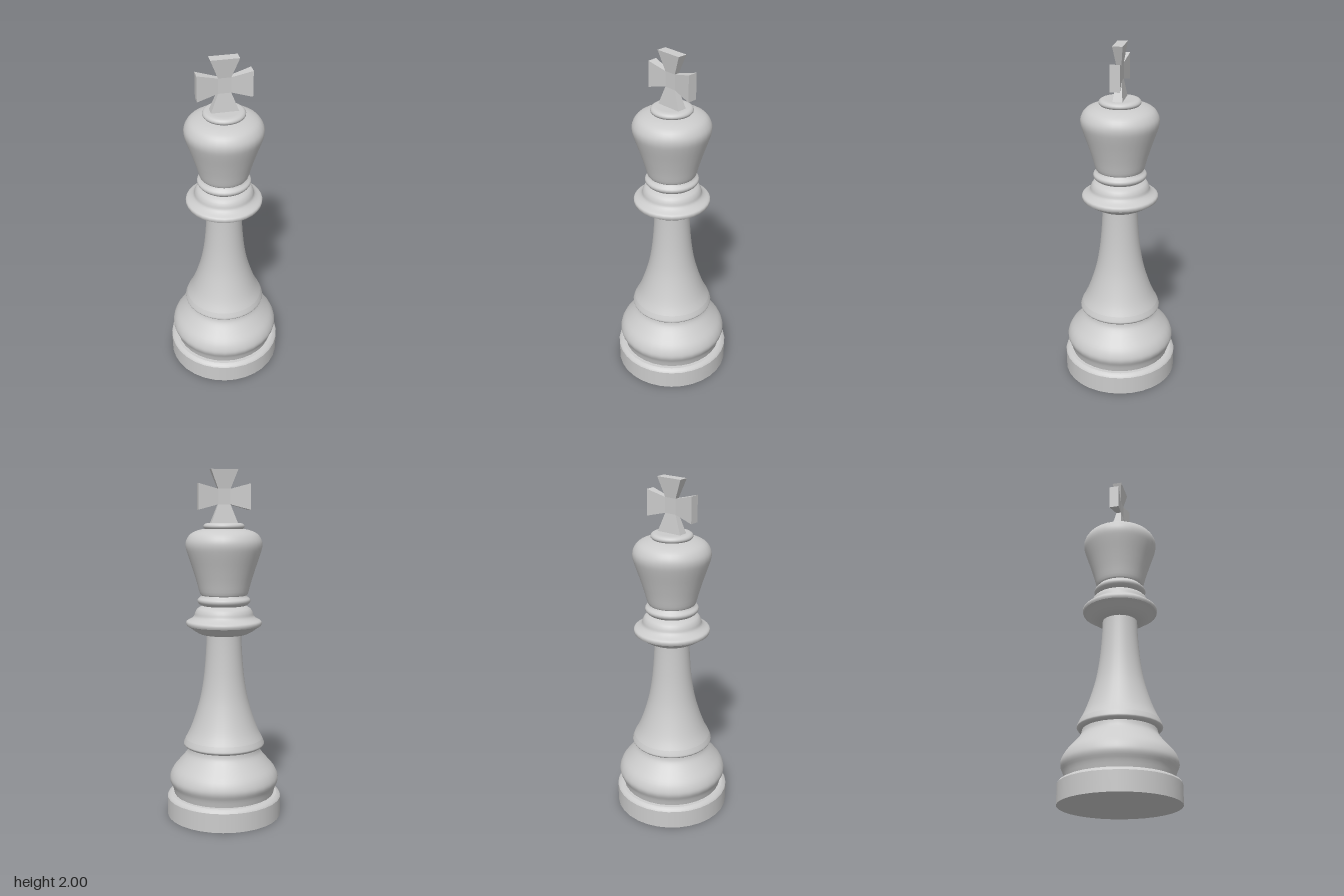
import * as THREE from 'three';

const material = new THREE.MeshStandardMaterial({ color: 0xcccccc, roughness: 0.7 });
const SIDES = 32;

// Each run of [radius, height] points is one smooth stretch; runs meet in sharp edges.
function turned(name, runs) {
  const part = new THREE.Group();
  part.name = name;
  runs.forEach((run, i) => {
    let points = run.map(([r, y]) => new THREE.Vector2(r, y));
    if (points.length > 3) {
      points = new THREE.SplineCurve(points).getPoints((points.length - 1) * 3);
    }
    const mesh = new THREE.Mesh(new THREE.LatheGeometry(points, SIDES), material);
    mesh.name = `${name}Surface${i + 1}`;
    part.add(mesh);
  });
  return part;
}

// Arm growing along +y from a narrow root to a wide, thicker tip.
function flaredArm(name, start, end, rootHalf, tipHalf, angle) {
  const geometry = new THREE.BoxGeometry(2, 1, 2);
  const p = geometry.attributes.position;
  for (let i = 0; i < p.count; i++) {
    const tip = p.getY(i) > 0;
    p.setXYZ(i,
      p.getX(i) * (tip ? tipHalf : rootHalf),
      tip ? end : start,
      p.getZ(i) * (tip ? 0.028 : 0.014));
  }
  geometry.computeVertexNormals();
  const arm = new THREE.Mesh(geometry, material);
  arm.name = name;
  arm.rotation.z = angle;
  return arm;
}

export function createModel() {
  const model = new THREE.Group();
  model.name = 'chessKing';

  // Foot
  model.add(turned('base', [
    [[0, 0], [0.335, 0]],
    [[0.335, 0], [0.335, 0.11]],
    [[0.335, 0.11], [0.328, 0.122], [0.312, 0.13]],
    [[0.312, 0.13], [0.29, 0.131]],
  ]));
  model.add(turned('bulge', [
    [[0.293, 0.13], [0.303, 0.17], [0.318, 0.205], [0.318, 0.235], [0.3, 0.275],
      [0.262, 0.32], [0.228, 0.36], [0.213, 0.385], [0.208, 0.41]],
  ]));

  // Flared stem
  model.add(turned('skirtRim', [
    [[0.2, 0.41], [0.222, 0.411], [0.236, 0.423], [0.235, 0.435], [0.225, 0.46]],
  ]));
  model.add(turned('stem', [
    [[0.225, 0.46], [0.197, 0.515], [0.166, 0.6], [0.138, 0.7], [0.119, 0.81],
      [0.108, 0.92], [0.102, 1.02], [0.1, 1.09]],
  ]));

  // Collar and neck ring
  model.add(turned('collar', [
    [[0.09, 1.07], [0.13, 1.073], [0.165, 1.09], [0.19, 1.108], [0.214, 1.123]],
    [[0.214, 1.123], [0.218, 1.135], [0.214, 1.149], [0.19, 1.162], [0.172, 1.178],
      [0.165, 1.2], [0.15, 1.222], [0.115, 1.24]],
  ]));
  model.add(turned('neckRing', [
    [[0.112, 1.235], [0.135, 1.242], [0.15, 1.258], [0.15, 1.274], [0.135, 1.288], [0.128, 1.3]],
  ]));

  // Head and its cap
  model.add(turned('head', [
    [[0.125, 1.295], [0.137, 1.305], [0.155, 1.37], [0.18, 1.45], [0.207, 1.53],
      [0.218, 1.575], [0.213, 1.61], [0.19, 1.643], [0.15, 1.663], [0.11, 1.672]],
  ]));
  model.add(turned('cap', [
    [[0.105, 1.67], [0.115, 1.678], [0.116, 1.69], [0.105, 1.701], [0.085, 1.704]],
    [[0.085, 1.704], [0, 1.704]],
  ]));

  // Cross with four flared arms
  const cross = new THREE.Group();
  cross.name = 'cross';
  cross.position.y = 1.85;
  const hub = new THREE.Mesh(new THREE.BoxGeometry(0.07, 0.086, 0.028), material);
  hub.name = 'crossHub';
  cross.add(hub);
  cross.add(flaredArm('topArm', 0.043, 0.15, 0.035, 0.077, 0));
  cross.add(flaredArm('bottomArm', 0.043, 0.15, 0.035, 0.077, Math.PI));
  cross.add(flaredArm('leftArm', 0.035, 0.149, 0.043, 0.073, -Math.PI / 2));
  cross.add(flaredArm('rightArm', 0.035, 0.149, 0.043, 0.073, Math.PI / 2));
  model.add(cross);

  return model;
}
